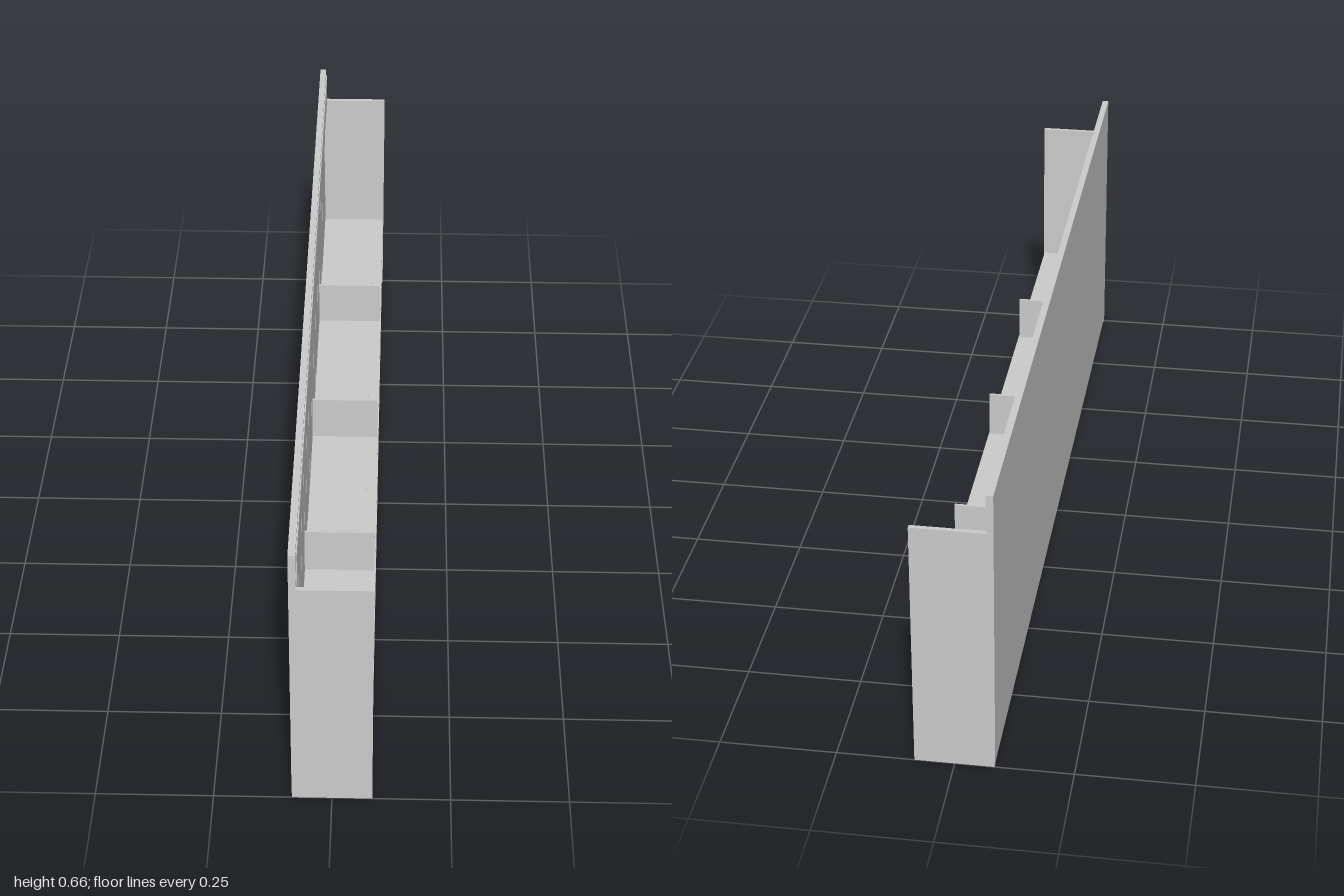
import * as THREE from 'three';

export function createModel() {
  const group = new THREE.Group();
  const mat = new THREE.MeshStandardMaterial({ color: 0xcccccc, flatShading: true });

  // Box given by its lower and upper limits on each axis
  const box = (name, x0, x1, y0, y1, z0, z1) => {
    const mesh = new THREE.Mesh(new THREE.BoxGeometry(x1 - x0, y1 - y0, z1 - z0), mat);
    mesh.position.set((x0 + x1) / 2, (y0 + y1) / 2, (z0 + z1) / 2);
    mesh.name = name;
    group.add(mesh);
  };

  const back = -0.085, front = 0.085, inner = 0.99, plankFace = -0.074;

  // Back sheet, top rail and the thin strip on the rail
  box('backSheet', back, -0.078, 0.012, 0.575, -1, 1);
  box('topRail', back, -0.07, 0.574, 0.66, -1, 1);
  box('railStrip', -0.07, -0.0675, 0.58, 0.65, -0.985, 0.985);

  // End panels, and the short rail tabs inside them
  for (const s of [-1, 1]) {
    const a = s * inner, b = s, t = s * 0.976;
    box('endPanel', back + 0.001, front, 0, 0.573, Math.min(a, b), Math.max(a, b));
    box('railTab', -0.078, -0.069, 0.548, 0.574, Math.min(t, a), Math.max(t, a));
  }

  // Base and shelf
  box('base', back + 0.002, 0.083, 0, 0.046, -inner, inner);
  box('shelf', -0.078, 0.083, 0.19, 0.205, -inner, inner);

  // Vertical planks with narrow grooves between them
  const pitch = 1 / 7, gap = 0.004;
  for (let i = -7; i <= 7; i++) {
    const z0 = Math.max(-inner, (i - 0.5) * pitch + gap);
    const z1 = Math.min(inner, (i + 0.5) * pitch - gap);
    box('backPlank', -0.079, plankFace, 0.046, 0.574, z0, z1);
  }

  // Shelf dividers
  for (const z of [-0.496, 0, 0.496]) {
    box('shelfDivider', plankFace, 0.081, 0.205, 0.312, z - 0.003, z + 0.003);
  }

  // Thin mat in each bay of the shelf
  for (const z of [-0.745, -0.25, 0.25, 0.745]) {
    box('shelfMat', -0.045, 0.058, 0.205, 0.208, z - 0.114, z + 0.114);
  }

  return group;
}
